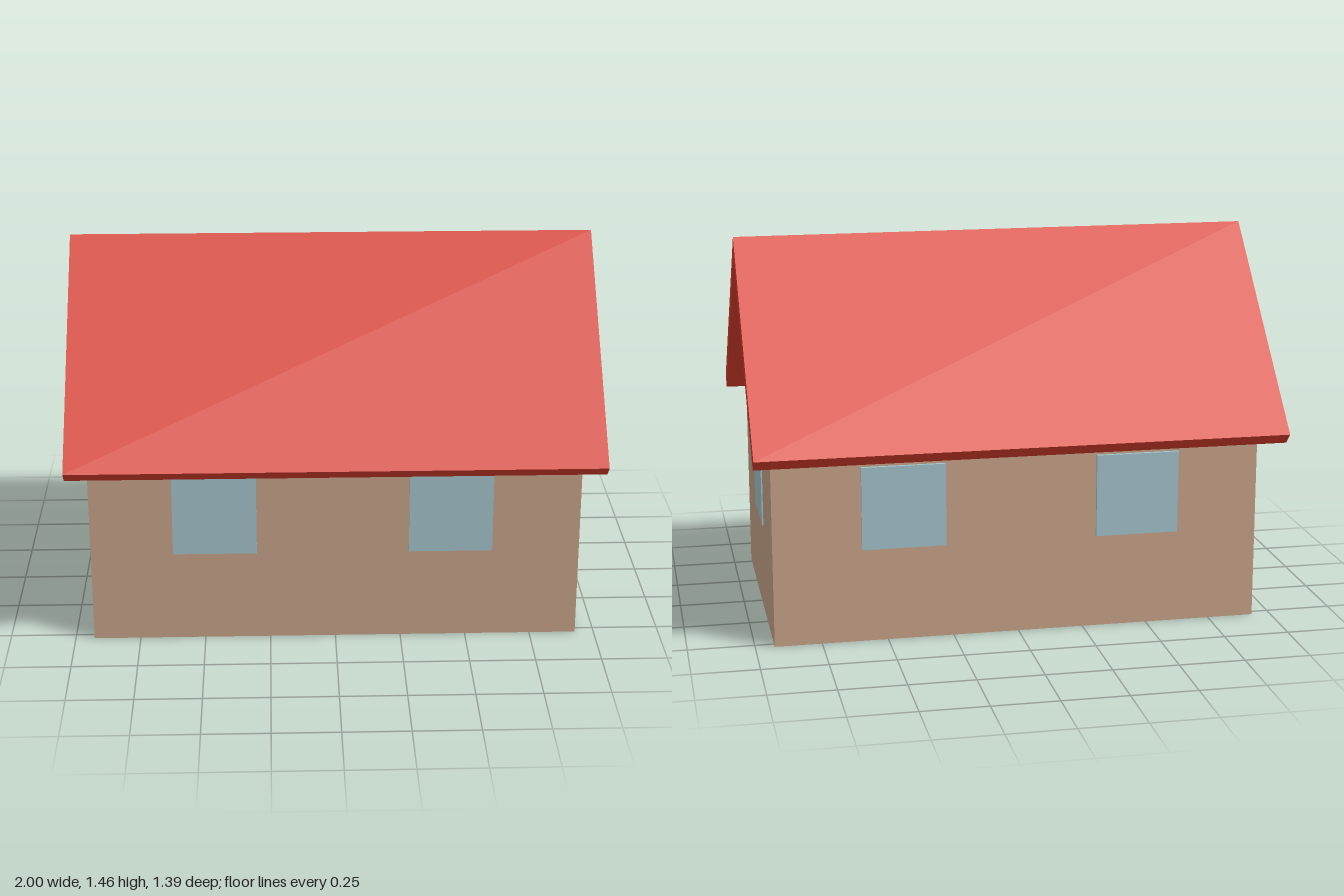
import * as THREE from 'three';

const paint = (color) => new THREE.MeshStandardMaterial({ color });

// Extrudes a [z, y] profile along x, centred on x = 0
function prism(name, profile, length, material) {
  const shape = new THREE.Shape(profile.map(([z, y]) => new THREE.Vector2(-z, y)));
  const geometry = new THREE.ExtrudeGeometry(shape, { depth: length, bevelEnabled: false });
  geometry.translate(0, 0, -length / 2).rotateY(Math.PI / 2);
  const mesh = new THREE.Mesh(geometry, material);
  mesh.name = name;
  return mesh;
}

// Inverted V with 45 degree slopes: outer peak, outer eave, inner eave, inner peak
function chevron(peak, half, drop, eaveIn, eaveDrop) {
  return [
    [0, peak], [half, peak - half], [half - eaveIn, peak - half - eaveDrop],
    [0, peak - drop], [-half + eaveIn, peak - half - eaveDrop], [-half, peak - half],
  ];
}

export function createModel() {
  const house = new THREE.Group();
  house.name = 'house';
  const wall = paint(0xc8a48a);
  const red = paint(0xd93c2a);
  const glass = paint(0xa4c4cd);
  const brown = paint(0x523022);

  const panel = (name, size, position, material) => {
    const mesh = new THREE.Mesh(new THREE.BoxGeometry(...size), material);
    mesh.position.set(...position);
    mesh.name = name;
    house.add(mesh);
  };

  // Body with gable ends
  house.add(prism('walls', [
    [-0.53, 0], [0.53, 0], [0.53, 0.846], [0, 1.363], [-0.53, 0.846],
  ], 1.856, wall));

  // Roof slabs meeting at the ridge, square-cut eaves
  house.add(prism('roof', chevron(1.46, 0.697, 0.0834, 0.0417, 0.0417), 2, red));

  // Thin lining under the ridge
  house.add(prism('ridgeLining', chevron(1.376, 0.222, 0.008, 0.004, 0.004), 1.94, wall));

  // Windows on the long walls
  for (const z of [-0.53, 0.53]) {
    for (const x of [-0.457, 0.437]) {
      panel('sideWindow', [0.317, 0.317, 0.024], [x, 0.519, z], glass);
    }
  }

  // Gable windows and the door
  panel('gableWindow', [0.02, 0.317, 0.317], [0.923, 0.519, 0], glass);
  panel('gableWindow', [0.02, 0.317, 0.317], [-0.923, 0.519, 0.225], glass);
  panel('door', [0.02, 0.677, 0.325], [-0.923, 0.3385, -0.222], brown);

  return house;
}
